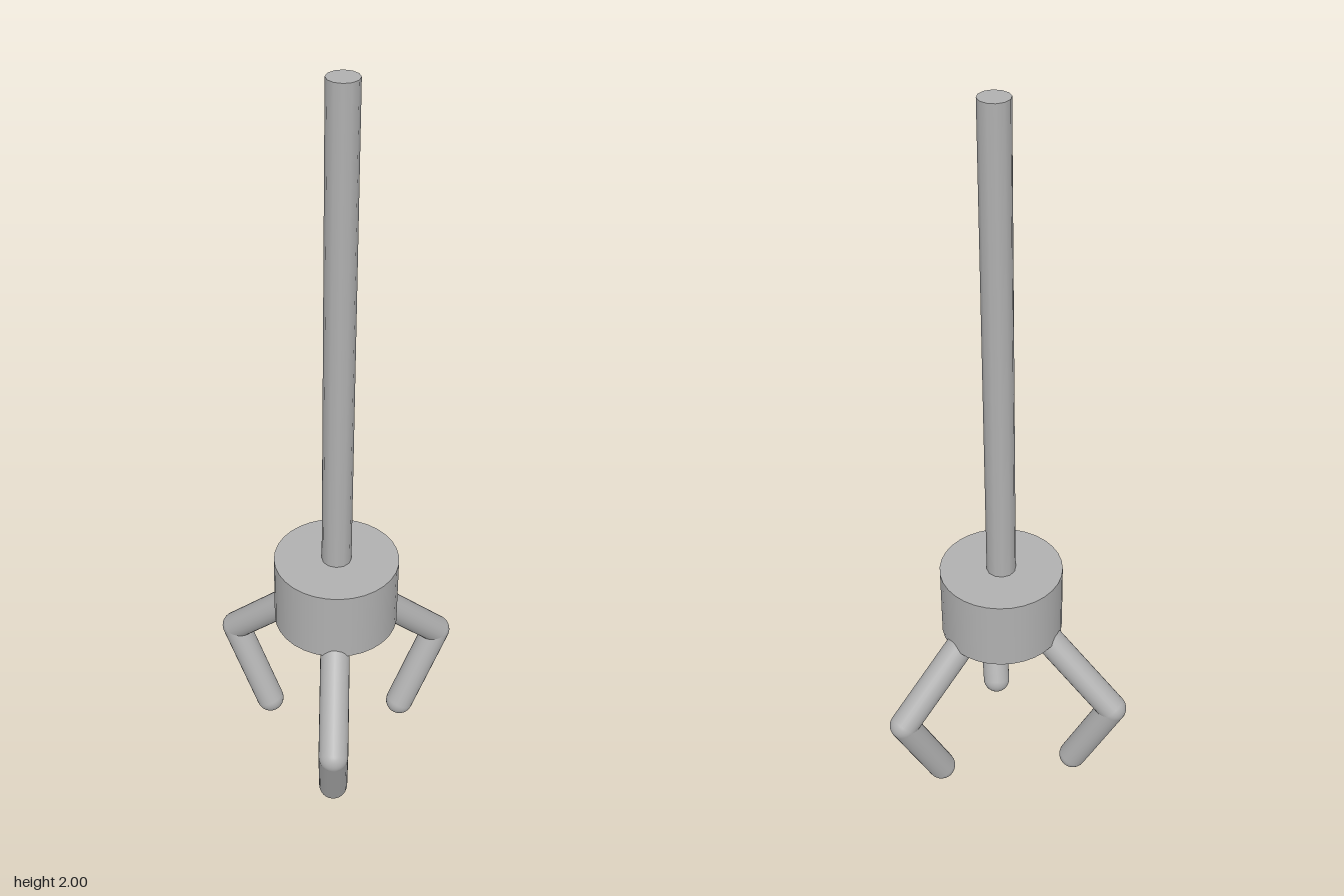
import * as THREE from 'three';

const AXIS_X = 0.083; // the rod's axis sits off-centre because of the three-way claw
const CLAW_RADIUS = 0.039;

export function createModel() {
  const model = new THREE.Group();
  model.name = 'grabberClaw';
  const metal = new THREE.MeshStandardMaterial({ color: 0xb0b0b0 });
  metal.name = 'grey metal';

  const add = (parent, name, geometry) => {
    const mesh = new THREE.Mesh(geometry, metal);
    mesh.name = name;
    parent.add(mesh);
    return mesh;
  };

  // Round-ended bar between two points
  const bar = (parent, name, a, b) => {
    const dir = b.clone().sub(a);
    const mesh = add(parent, name, new THREE.CapsuleGeometry(CLAW_RADIUS, dir.length(), 8, 24));
    mesh.position.copy(a).add(b).multiplyScalar(0.5);
    mesh.quaternion.setFromUnitVectors(new THREE.Vector3(0, 1, 0), dir.normalize());
  };

  const body = new THREE.Group();
  body.name = 'body';
  body.position.x = AXIS_X;
  model.add(body);

  // Long rod and the drum that holds the claws
  add(body, 'rod', new THREE.CylinderGeometry(0.0395, 0.0395, 1.328, 12)).position.y = 1.336;
  add(body, 'drum', new THREE.CylinderGeometry(0.166, 0.166, 0.2, 32)).position.y = 0.572;

  // Three bent claws, evenly spaced
  const shoulder = new THREE.Vector3(0.14, 0.463, 0);
  const elbow = new THREE.Vector3(0.334, 0.273, 0);
  const tip = new THREE.Vector3(0.22, 0.039, 0);
  for (let i = 0; i < 3; i++) {
    const claw = new THREE.Group();
    claw.name = `claw${i + 1}`;
    claw.rotation.y = Math.PI + (i * Math.PI * 2) / 3;
    bar(claw, 'upperClaw', shoulder, elbow);
    bar(claw, 'lowerClaw', elbow, tip);
    body.add(claw);
  }
  return model;
}
